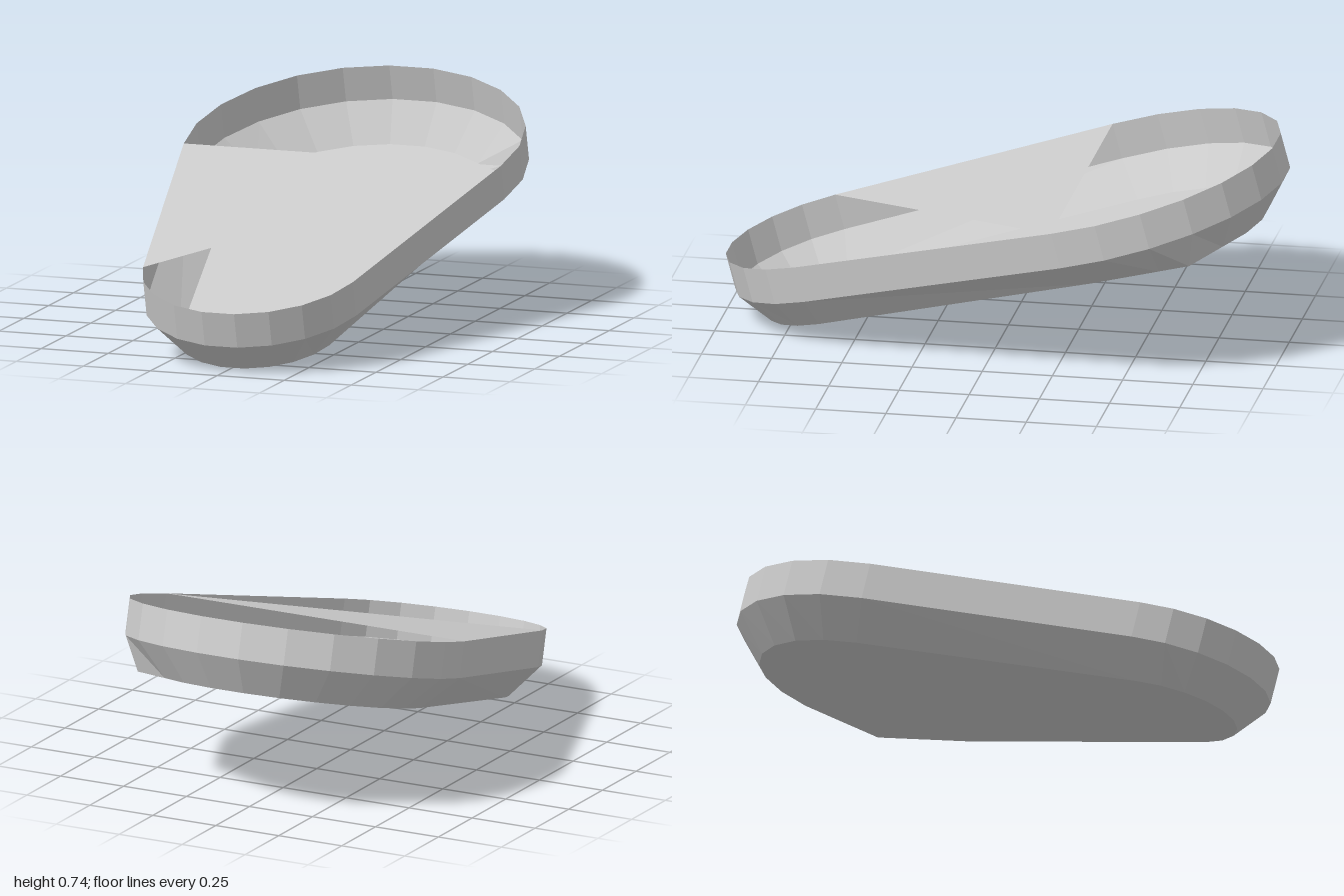
import * as THREE from 'three';

const BACK_SEGS = 13, FRONT_SEGS = 9;

// Outline of two circles joined by tangents, as [x, z] points
function outline(rBack, zBack, rFront, zFront) {
  const tilt = Math.asin((rBack - rFront) / (zFront - zBack));
  const pts = [];
  const arc = (r, z, from, to, n) => {
    for (let i = 0; i <= n; i++) {
      const a = from + (to - from) * i / n;
      pts.push([r * Math.cos(a), z + r * Math.sin(a)]);
    }
  };
  arc(rFront, zFront, tilt, Math.PI - tilt, FRONT_SEGS);
  arc(rBack, zBack, Math.PI - tilt, Math.PI * 2 + tilt, BACK_SEGS);
  return pts;
}

const at = (pts, y) => pts.map(([x, z]) => [x, y, z]);

function mesh(name, triangles, material) {
  const geo = new THREE.BufferGeometry();
  geo.setAttribute('position', new THREE.Float32BufferAttribute(triangles.flat(2), 3));
  geo.computeVertexNormals();
  const m = new THREE.Mesh(geo, material);
  m.name = name;
  return m;
}

// Band of faces between an upper and a lower ring
function band(upper, lower) {
  const tris = [];
  upper.forEach((a, i) => {
    const j = (i + 1) % upper.length;
    tris.push([a, upper[j], lower[i]], [upper[j], lower[j], lower[i]]);
  });
  return tris;
}

export function createModel() {
  const material = new THREE.MeshStandardMaterial({
    color: 0xcccccc, flatShading: true, side: THREE.DoubleSide,
  });

  const rim = outline(0.604, -0.39, 0.4, 0.635);
  // The floor is inset, with a straight cut along its back left side
  const base = outline(0.48, -0.405, 0.285, 0.662).map(([x, z]) =>
    x > 0 && z > -0.7 && z < 0 ? [0.455 - (z + 0.685) * 0.06, z] : [x, z]);

  const top = at(rim, 0), middle = at(rim, -0.13), bottom = at(base, -0.253);

  const tray = new THREE.Group();
  tray.name = 'tray';
  tray.add(mesh('rimWall', band(top, middle), material));
  tray.add(mesh('bevel', band(middle, bottom), material));

  // Flat floor as a fan, facing down
  const centre = [0, -0.253, 0];
  const floor = bottom.map((p, i) => [centre, p, bottom[(i + 1) % bottom.length]]);
  tray.add(mesh('floor', floor, material));

  // Triangular panel covering part of the open top
  const frontRight = top[FRONT_SEGS], backRight = top[FRONT_SEGS + 1], backLeft = top[top.length - 1];
  tray.add(mesh('topPanel', [[frontRight, backLeft, backRight]], material));

  // Raise the back end
  tray.rotation.x = THREE.MathUtils.degToRad(15);
  tray.position.y = 0.493;

  const model = new THREE.Group();
  model.name = 'model';
  model.add(tray);
  return model;
}
